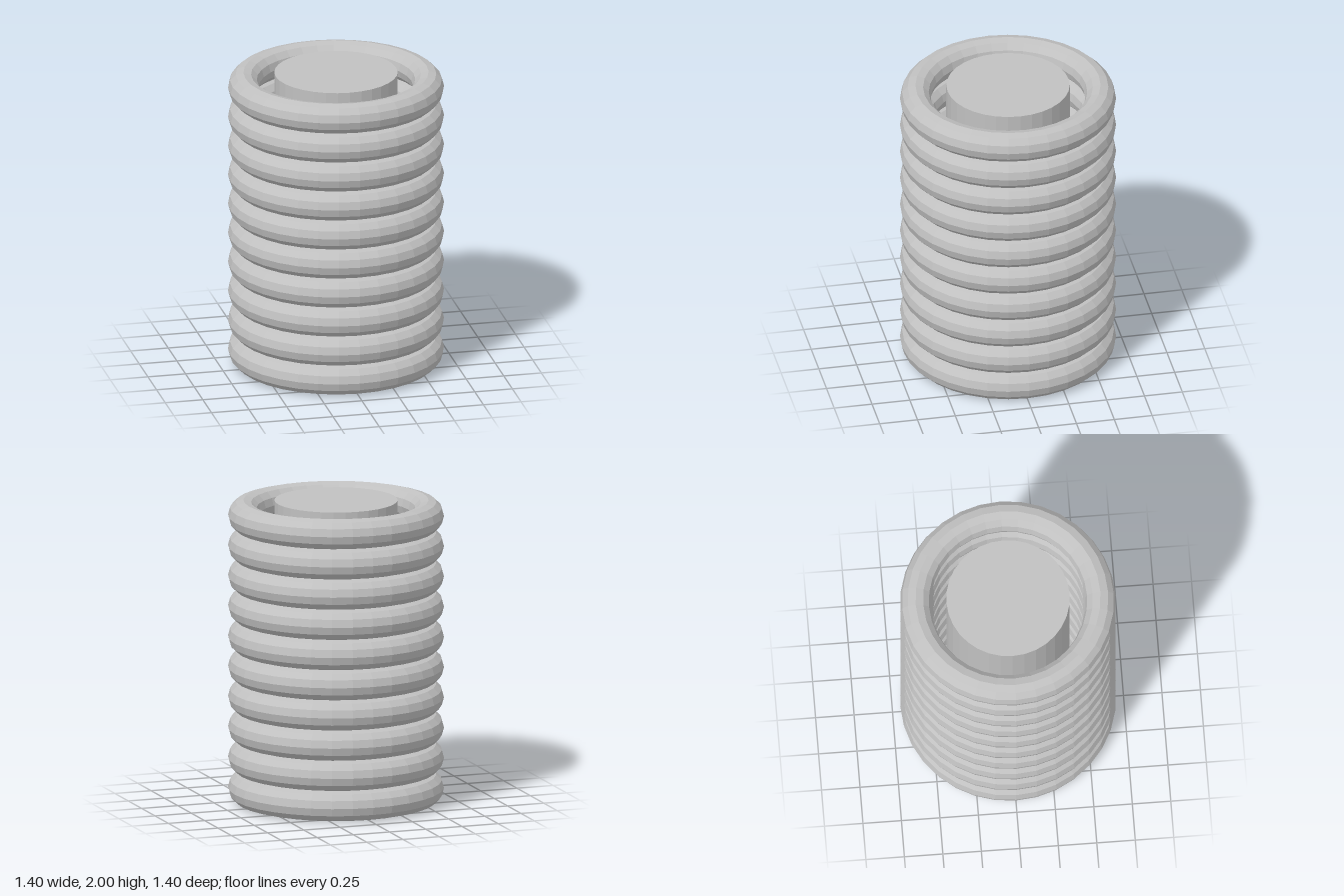
import * as THREE from 'three';

export function createModel() {
  const model = new THREE.Group();
  model.name = 'coiledCore';
  const grey = new THREE.MeshStandardMaterial({ color: 0xc0c0c0, flatShading: true });
  grey.name = 'light grey';

  // Solid central core, full height
  const core = new THREE.Mesh(new THREE.CylinderGeometry(0.4, 0.4, 2, 32), grey);
  core.name = 'core';
  core.position.y = 1;
  model.add(core);

  // Stack of ten touching rings around the core
  const ringGeometry = new THREE.TorusGeometry(0.6, 0.1, 12, 32).rotateX(Math.PI / 2);
  const rings = new THREE.Group();
  rings.name = 'rings';
  for (let i = 0; i < 10; i++) {
    const ring = new THREE.Mesh(ringGeometry, grey);
    ring.name = `ring${i + 1}`;
    ring.position.y = 0.1 + i * 0.2;
    rings.add(ring);
  }
  model.add(rings);
  return model;
}
